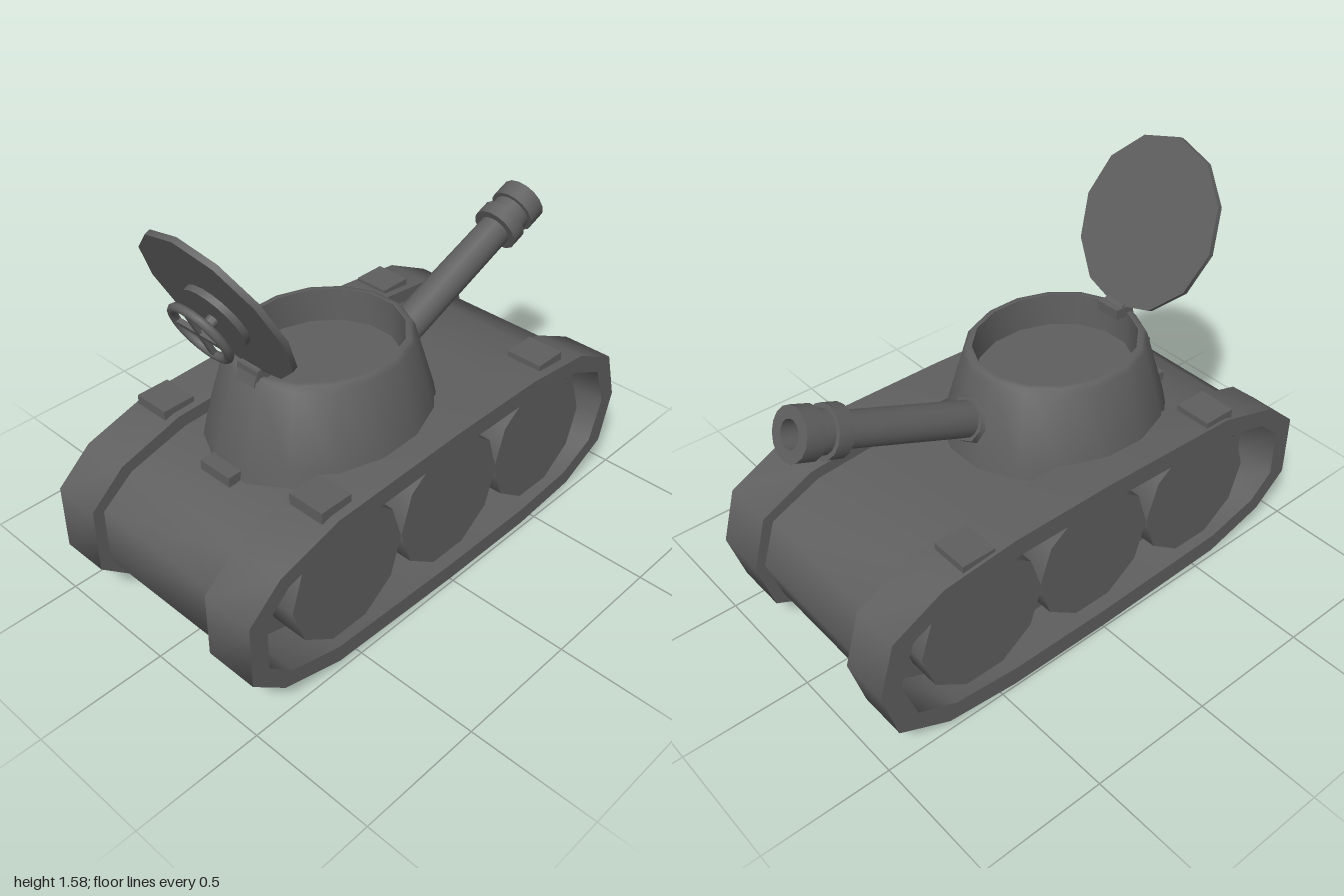
import * as THREE from 'three';
import { toCreasedNormals } from 'three/addons/utils/BufferGeometryUtils.js';

const material = new THREE.MeshStandardMaterial({ color: 0x5f5f5f });

function add(parent, name, geometry, x = 0, y = 0, z = 0) {
  const mesh = new THREE.Mesh(toCreasedNormals(geometry, 1), material);
  mesh.name = name;
  mesh.position.set(x, y, z);
  parent.add(mesh);
  return mesh;
}

const box = (w, h, d) => new THREE.BoxGeometry(w, h, d);
const lathe = (pts, sides, start = 0) =>
  new THREE.LatheGeometry(pts.map(p => new THREE.Vector2(...p)), sides, start);

// Side outlines as (z, y - 0.35) for the upper half, mirrored below
const MID = 0.35;
const outerHalf = [[1, 0.13], [0.86, 0.25], [0.6, 0.325], [0, 0.345], [-0.43, 0.345],
  [-0.73, 0.315], [-0.94, 0.21]];
const innerHalf = [[0.92, 0.1], [0.82, 0.19], [0.6, 0.25], [0, 0.27], [-0.43, 0.27],
  [-0.7, 0.245], [-0.86, 0.17]];

function outline(half, tail, sz = 1, sy = 1) {
  const lower = half.map(([z, y]) => [z, -y]).reverse();
  return [...half, [tail, 0], ...lower].map(([z, y]) => new THREE.Vector2(z * sz, MID + y * sy));
}

function sideExtrude(shape, width) {
  const g = new THREE.ExtrudeGeometry(shape, { depth: width, bevelEnabled: false });
  return g.translate(0, 0, -width / 2).rotateY(-Math.PI / 2);
}

export function createModel() {
  const model = new THREE.Group();
  model.name = 'tank';

  add(model, 'hull', sideExtrude(new THREE.Shape(outline(outerHalf, -1, 0.956, 0.85)), 0.62), -0.01);

  // Tracks, wheels and fender blocks; the two sides differ slightly in width and size
  const sides = [
    { name: 'left', x: 0.385, width: 0.21, sz: 0.994, sy: 0.985, wheelX: 0.375, blockX: 0.38 },
    { name: 'right', x: -0.396, width: 0.192, sz: 1, sy: 1.01, wheelX: -0.375, blockX: -0.405 },
  ];
  for (const s of sides) {
    const side = new THREE.Group();
    side.name = s.name + 'TrackAssembly';
    model.add(side);
    const shape = new THREE.Shape(outline(outerHalf, -1, s.sz, s.sy));
    shape.holes.push(new THREE.Path(outline(innerHalf, -0.92)));
    add(side, 'track', sideExtrude(shape, s.width), s.x);
    for (const z of [0.51, -0.02, -0.54]) {
      const wheel = new THREE.CylinderGeometry(0.264, 0.264, 0.15, 10).rotateZ(Math.PI / 2);
      add(side, 'wheel', wheel, s.wheelX, 0.355, z);
    }
    for (const z of [0.57, -0.575])
      add(side, 'fenderBlock', box(0.15, 0.045, 0.135), s.blockX, 0.682, z);
  }

  // Open turret with a well under the hatch
  const turret = lathe([[0.4, 0.58], [0.38, 0.69], [0.31, 0.955], [0.296, 0.975],
    [0.278, 0.975], [0.271, 0.845], [0, 0.845]], 16, Math.PI / 16);
  add(model, 'turret', turret, 0.005, 0, 0.186).scale.set(1.015, 1, 1.15);
  add(model, 'turretFrontBlock', box(0.145, 0.04, 0.12), -0.018, 0.627, 0.62);

  // Gun, raised and pointing to the back
  const gun = new THREE.Group();
  gun.name = 'gun';
  gun.position.set(0.02, 0.79, -0.2);
  gun.rotation.x = -1.178;
  model.add(gun);
  add(gun, 'gunFlange', new THREE.CylinderGeometry(0.085, 0.1, 0.05, 8), 0, 0.005, 0);
  add(gun, 'barrel', lathe([[0, -0.08], [0.069, -0.08], [0.065, 0.6], [0.095, 0.6], [0.095, 0.66],
    [0.078, 0.66], [0.078, 0.71], [0.095, 0.71], [0.095, 0.785], [0.05, 0.785],
    [0.05, 0.65], [0, 0.65]], 16));

  // Hinge on the turret rim, with a leaf folded down the outside
  add(model, 'hingeBlock', box(0.1, 0.04, 0.085), 0.005, 0.985, 0.487);
  add(model, 'hingePin', new THREE.CylinderGeometry(0.032, 0.032, 0.09, 10).rotateZ(Math.PI / 2),
    0.005, 0.984, 0.495);
  add(model, 'hingeLeaf', box(0.09, 0.04, 0.02), 0.005, 0.962, 0.528).rotation.x = -0.3;

  // Open hatch lid with its hand wheel; local z points out of the lid
  const hatch = new THREE.Group();
  hatch.name = 'hatch';
  hatch.position.set(0.005, 1.285, 0.635);
  hatch.rotation.x = 0.457;
  model.add(hatch);
  const disc = (r, t, n) => new THREE.CylinderGeometry(r, r, t, n).rotateX(Math.PI / 2);
  add(hatch, 'lid', disc(0.31, 0.022, 12)).scale.y = 1.06;
  add(hatch, 'lidBoss', disc(0.132, 0.025, 20), 0, -0.025, 0.022);
  add(hatch, 'handWheelHub', disc(0.022, 0.08, 12), 0, -0.025, 0.055);
  add(hatch, 'handWheelRim', new THREE.TorusGeometry(0.117, 0.016, 8, 24), 0, -0.025, 0.096);
  add(hatch, 'handWheelSpoke', box(0.23, 0.02, 0.018), 0, -0.025, 0.096);
  add(hatch, 'handWheelSpoke', box(0.02, 0.23, 0.018), 0, -0.025, 0.096);

  return model;
}
